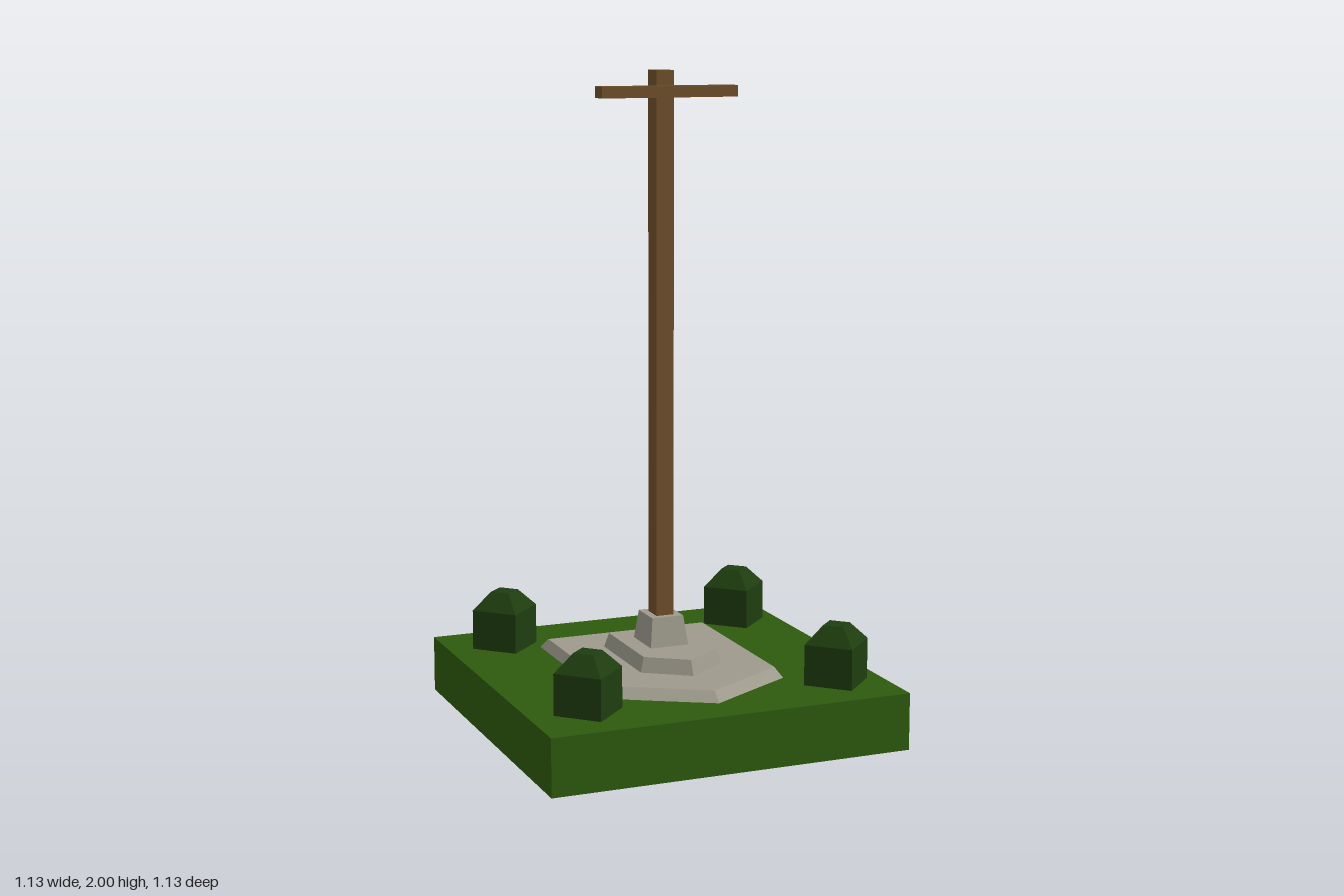
import * as THREE from 'three';

// Colours
const mat = (name, color) => {
  const m = new THREE.MeshStandardMaterial({ color, flatShading: true, side: THREE.DoubleSide });
  m.name = name;
  return m;
};

// Outlines, counter-clockwise seen from above, as [x, z]
const rect = (w, d) => [[w, d], [w, -d], [-w, -d], [-w, d]];
const diamond = r => [[0, r], [r, 0], [0, -r], [-r, 0]];
const shield = (w, back, shoulder, tip) =>
  [[0, tip], [w, shoulder], [w, -back], [-w, -back], [-w, shoulder]];

// Shell through stacked outlines [y, outline], closed on top and open below
function shell(sections) {
  const pos = [];
  const put = (y, p) => pos.push(p[0], y, p[1]);
  for (let s = 0; s < sections.length - 1; s++) {
    const [y0, lo] = sections[s];
    const [y1, hi] = sections[s + 1];
    lo.forEach((a, i) => {
      const j = (i + 1) % lo.length;
      put(y0, a); put(y0, lo[j]); put(y1, hi[j]);
      put(y0, a); put(y1, hi[j]); put(y1, hi[i]);
    });
  }
  const [yt, top] = sections[sections.length - 1];
  for (let i = 1; i < top.length - 1; i++) {
    put(yt, top[0]); put(yt, top[i]); put(yt, top[i + 1]);
  }
  const g = new THREE.BufferGeometry();
  g.setAttribute('position', new THREE.Float32BufferAttribute(pos, 3));
  g.computeVertexNormals();
  return g;
}

export function createModel() {
  const grass = mat('grass green', 0x2d5a0d);
  const leaf = mat('dark leaf green', 0x1e3d10);
  const stone = mat('stone grey', 0x9d9a8c);
  const wood = mat('wood brown', 0x70502c);

  const model = new THREE.Group();
  model.name = 'woodenPostOnPlinth';
  const add = (name, geometry, material, x = 0, y = 0, z = 0) => {
    const mesh = new THREE.Mesh(geometry, material);
    mesh.name = name;
    mesh.position.set(x, y, z);
    model.add(mesh);
  };

  // Hollow grass block
  add('grassBase', shell([[0, rect(0.565, 0.565)], [0.175, rect(0.565, 0.565)]]), grass);

  // Stepped stone plinth, each tier sunk into the one below
  add('lowerStep', shell([
    [0.15, shield(0.3, 0.344, 0.298, 0.47)],
    [0.205, shield(0.266, 0.302, 0.253, 0.41)],
  ]), stone);
  add('middleStep', shell([
    [0.04, shield(0.178, 0.2, 0.19, 0.315)],
    [0.25, shield(0.12, 0.143, 0.148, 0.232)],
  ]), stone);
  add('postSocket', shell([
    [0.1, rect(0.08, 0.095)],
    [0.34, rect(0.051, 0.056)],
  ]), stone, -0.003);

  // Post and crossbar
  add('post', new THREE.BoxGeometry(0.056, 1.9, 0.066), wood, -0.003, 1.05, 0.001);
  add('crossbar', new THREE.BoxGeometry(0.434, 0.034, 0.055), wood, -0.004, 1.938, 0.052);

  // Corner shrubs
  const shrub = shell([
    [0.15, diamond(0.106)],
    [0.3, diamond(0.106)],
    [0.355, diamond(0.045)],
  ]);
  for (const x of [-0.383, 0.415])
    for (const z of [-0.386, 0.373]) add('shrub', shrub, leaf, x, 0, z);

  return model;
}
